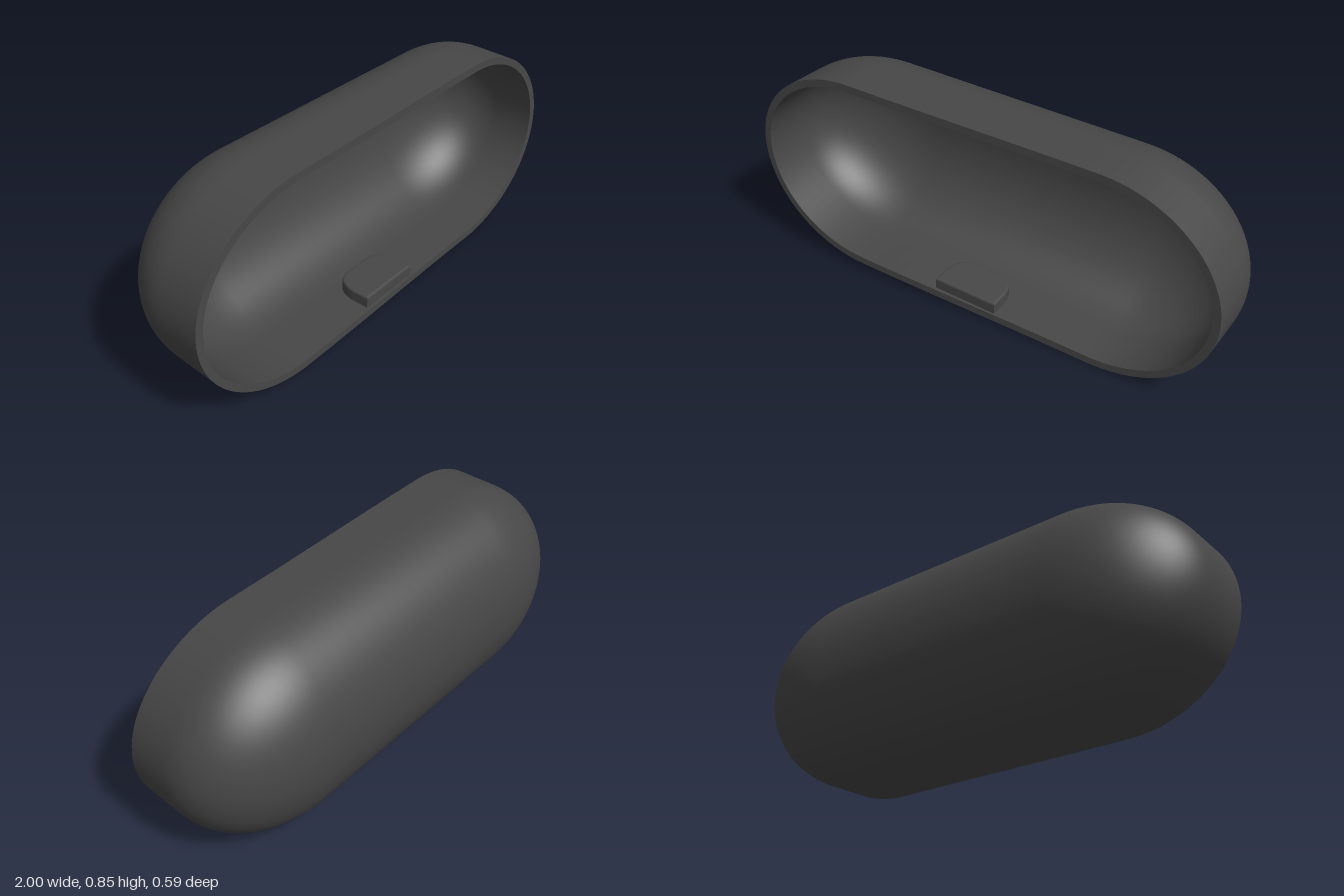
import * as THREE from 'three';
import { mergeVertices } from 'three/addons/utils/BufferGeometryUtils.js';

const CORE = 0.52, RX = 0.48, RY = 0.41, MID_Y = 0.427;
const DOME_Z = 0.065, DEPTH = 0.34, WALL = 0.03;

// Stadium outline, counter-clockwise from the front: [core x, cos, sin]
function outline() {
  const pts = [], arc = 40, straight = 16;
  for (const side of [1, -1]) {
    for (let i = 0; i <= arc; i++) {
      const a = -Math.PI / 2 + Math.PI * i / arc;
      pts.push([side * CORE, side * Math.cos(a), side * Math.sin(a)]);
    }
    for (let i = 1; i < straight; i++) {
      pts.push([side * CORE * (1 - 2 * i / straight), 0, side]);
    }
  }
  return pts;
}
const ring = outline();

// One loop of the shell; the whole body leans slightly along its length
function section(inset, scale, z) {
  return ring.map(([core, c, s]) => {
    const x = core + c * (RX - inset) * scale;
    const y = MID_Y + s * (RY - inset) * scale - 0.03 * x;
    return [x, y, z - 0.04 * x];
  });
}

// The opening follows a gently waved, tilted edge
function rim(inset) {
  return section(inset, 1, 0).map(([x, y]) =>
    [x, y, 0.245 - 0.042 * Math.sin(1.5 * x) - 0.02 * (y - MID_Y)]);
}

// Rows from the rounded back to the opening
function shellRows(inset) {
  const rows = [], steps = 28, power = 2 / 2.1;
  for (let i = 0; i <= steps; i++) {
    const t = Math.PI / 2 * i / steps;
    const depth = (DEPTH - inset) * Math.pow(Math.max(0, Math.cos(t)), power);
    rows.push(section(inset, Math.pow(Math.sin(t), power), DOME_Z - depth));
  }
  rows.push(rim(inset));
  return rows;
}

function loft(rows) {
  const n = ring.length, index = [];
  for (let r = 0; r < rows.length - 1; r++) {
    for (let i = 0; i < n; i++) {
      const a = r * n + i, b = r * n + (i + 1) % n;
      index.push(a, b, a + n, b, b + n, a + n);
    }
  }
  const g = new THREE.BufferGeometry();
  g.setAttribute('position', new THREE.Float32BufferAttribute(rows.flat(2), 3));
  g.setIndex(index);
  const merged = mergeVertices(g, 1e-5);
  merged.computeVertexNormals();
  return merged;
}

export function createModel() {
  const group = new THREE.Group();
  const plastic = new THREE.MeshStandardMaterial({ color: 0x474747 });
  plastic.name = 'dark grey plastic';
  const add = (name, geometry) => {
    const mesh = new THREE.Mesh(geometry, plastic);
    mesh.name = name;
    group.add(mesh);
    return mesh;
  };

  // Hollow shell
  add('outerShell', loft(shellRows(0)));
  add('rim', loft([rim(0), rim(WALL)]));
  add('innerShell', loft(shellRows(WALL).reverse()));

  // Catch tab on the lower inner wall, narrowing towards the back
  const tab = new THREE.Shape();
  tab.moveTo(-0.13, 0);
  tab.lineTo(0.13, 0);
  tab.lineTo(0.13, 0.07);
  tab.quadraticCurveTo(0.12, 0.15, 0.06, 0.15);
  tab.lineTo(-0.06, 0.15);
  tab.quadraticCurveTo(-0.12, 0.15, -0.13, 0.07);
  tab.closePath();
  const geometry = new THREE.ExtrudeGeometry(tab, {
    depth: 0.05, bevelEnabled: true, bevelThickness: 0.008,
    bevelSize: 0.008, bevelSegments: 2, curveSegments: 8,
  });
  geometry.rotateX(-Math.PI / 2);
  const catchTab = add('catchTab', geometry);
  catchTab.position.set(-0.02, 0.037, 0.235);
  catchTab.rotation.set(0, 0.04, -0.03);
  return group;
}
